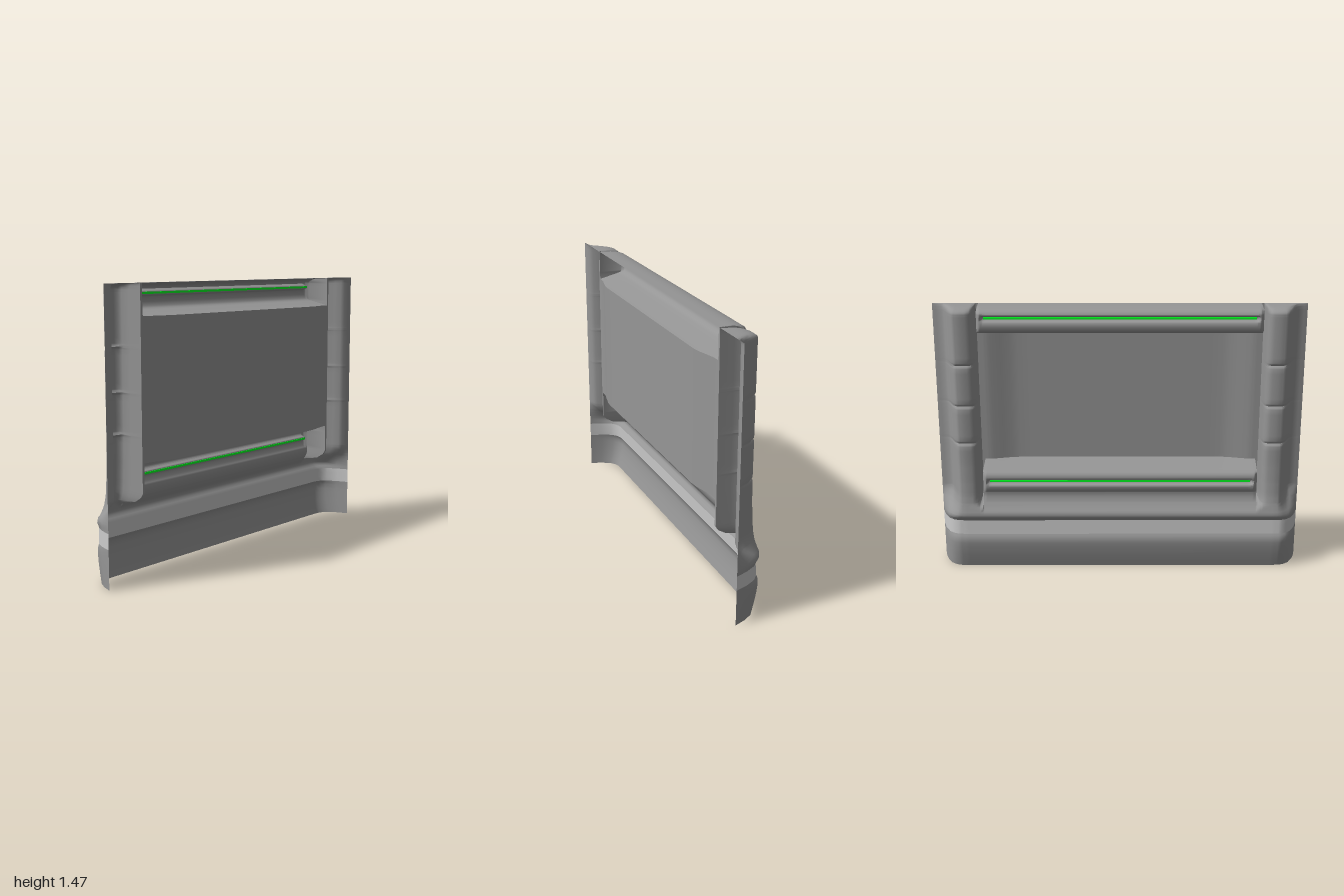
import * as THREE from 'three';
import { toCreasedNormals } from 'three/addons/utils/BufferGeometryUtils.js';

const BACK = 0.075; // open rim of the shell
const TOP = 1.465;
const step = THREE.MathUtils.smoothstep;
const lerp = THREE.MathUtils.lerp;

// piecewise-linear lookup in a list of [position, value]
function lookup(points, t) {
  if (t <= points[0][0]) return points[0][1];
  for (let i = 1; i < points.length; i++) {
    const [a, va] = points[i - 1], [b, vb] = points[i];
    if (t <= b) return lerp(va, vb, (t - a) / (b - a));
  }
  return points[points.length - 1][1];
}

// outer depth up the wall: skirt, band, lip, then the pillars
const outerProfile = [[0, -0.07], [0.05, -0.083], [0.1, -0.094], [0.15, -0.101], [0.175, -0.101], [0.19, -0.094],
  [0.2, -0.088], [0.28, -0.084], [0.295, -0.094], [0.305, -0.107], [0.32, -0.11], [0.335, -0.105],
  [0.38, -0.091], [0.43, -0.082], [0.5, -0.076], [0.6, -0.071], [0.72, -0.069], [TOP, -0.07]];
// recessed middle: lower bar, panel, upper bar
const lowerBar = [[0.335, -0.105], [0.36, -0.084], [0.385, -0.068], [0.41, -0.06], [0.435, -0.057],
  [0.443, -0.063], [0.455, -0.07], [0.475, -0.075], [0.53, -0.077], [0.545, -0.073], [0.555, -0.06],
  [0.563, -0.035], [0.585, BACK]];
const upperBar = [[1.305, BACK], [1.328, -0.03], [1.335, -0.055], [1.345, -0.068], [1.365, -0.075], [TOP, -0.077]];
// share of the full depth across the width
const skirtSide = [[0.86, 1], [0.89, 0.985], [0.92, 0.92], [0.95, 0.76], [0.98, 0.4], [1, 0]];
const pillarSide = [[0.768, 0], [0.774, 0.5], [0.78, 0.82], [0.79, 0.94], [0.81, 0.985], [0.84, 1], [0.865, 0.99],
  [0.88, 0.93], [0.9, 0.72], [0.92, 0.4], [0.935, 0.18], [0.95, 0.07], [1, 0]];
const joints = [0.72, 0.93, 1.155];
const stripHeights = [0.5, 1.41];

// depth of the middle field between the pillars
function middleDepth(x, y) {
  const panel = lerp(0.108, BACK, step(x, 0.56, 0.74));
  if (y >= 0.585 && y <= 1.305) return panel;
  let z = y < 0.585 ? lookup(lowerBar, y) : lookup(upperBar, y);
  // grooves for the light strips
  for (const h of stripHeights) {
    const r = Math.hypot(Math.max(0, x - 0.715), y - h);
    z += 0.028 * (1 - step(r, 0.007, 0.02));
  }
  // rounded ends of the bars
  if (y > 0.4) z = lerp(z, Math.max(z, -0.055), step(x, 0.735, 0.752));
  return z;
}

function depth(xs, y) {
  const x = Math.abs(xs);
  const outer = lookup(outerProfile, y);
  const slit = step(y, 0.355, 0.39);
  let z;
  if (x < 0.7535) {
    z = y < 0.335 ? outer : middleDepth(x, y);
  } else {
    let p = lookup(pillarSide, x);
    if (x < 0.84) p = lerp(1, p, slit);
    // pinched joints between the pillar segments
    for (const j of joints) p *= 1 - 0.08 * Math.pow(Math.max(0, 1 - Math.abs(y - j) / 0.016), 2);
    const share = lerp(lookup(skirtSide, x), p, step(y, 0.29, 0.44));
    z = lerp(BACK, outer, share);
  }
  // rounded top edge closing back to the rim
  if (y > 1.43 && z < BACK) {
    const u = Math.min(1, (y - 1.43) / (TOP - 1.43));
    z = lerp(BACK, z, Math.pow(1 - u * u, 0.35));
  }
  return z;
}

// sorted grid lines: breakpoints with long spans subdivided
function gridLines(breaks, maxStep) {
  const sorted = [...new Set(breaks)].sort((a, b) => a - b);
  const out = [sorted[0]];
  for (let i = 1; i < sorted.length; i++) {
    const n = Math.ceil((sorted[i] - sorted[i - 1]) / maxStep);
    for (let k = 1; k <= n; k++) out.push(lerp(sorted[i - 1], sorted[i], k / n));
  }
  return out;
}

const halfX = gridLines([0, 0.56, 0.6, 0.65, 0.7, 0.715, 0.722, 0.729, 0.735, 0.74, 0.746, 0.752, 0.755,
  ...pillarSide.map(p => p[0]), ...skirtSide.map(p => p[0])], 0.08);
const xLines = [...halfX.slice(1).reverse().map(x => -x), ...halfX];
const yLines = gridLines([...outerProfile, ...lowerBar, ...upperBar].map(p => p[0]).concat(
  joints.flatMap(j => [-0.016, -0.009, -0.004, 0, 0.004, 0.009, 0.016].map(d => j + d)),
  stripHeights.flatMap(h => [-0.02, -0.016, -0.011, -0.007, 0.007, 0.011, 0.016, 0.02].map(d => h + d)),
  [0.345, 0.37, 1.44, 1.448, 1.454, 1.459, 1.462, 1.464]), 0.03);

// one horizontal slice of the shell
function shellPart(name, y0, y1, material) {
  const ys = yLines.filter(y => y >= y0 - 1e-6 && y <= y1 + 1e-6);
  const pos = [], index = [], w = xLines.length;
  for (const y of ys) for (const x of xLines) pos.push(x, y, depth(x, y));
  for (let j = 0; j < ys.length - 1; j++) {
    for (let i = 0; i < w - 1; i++) {
      const a = j * w + i, b = a + w;
      index.push(a, b, a + 1, a + 1, b, b + 1);
    }
  }
  const geo = new THREE.BufferGeometry();
  geo.setAttribute('position', new THREE.Float32BufferAttribute(pos, 3));
  geo.setIndex(index);
  const mesh = new THREE.Mesh(toCreasedNormals(geo, 1.1), material);
  mesh.name = name;
  return mesh;
}

export function createModel() {
  const group = new THREE.Group();
  group.name = 'wallPanel';
  const dark = new THREE.MeshStandardMaterial({ color: 0x969696, side: THREE.DoubleSide });
  const pale = new THREE.MeshStandardMaterial({ color: 0xcccccc, side: THREE.DoubleSide });
  const green = new THREE.MeshStandardMaterial({ color: 0x00ff22 });

  group.add(shellPart('skirt', 0, 0.2, dark));
  group.add(shellPart('skirtBand', 0.2, 0.28, pale));
  group.add(shellPart('wallShell', 0.28, TOP, dark));

  // light strips lying in the bar grooves
  for (const h of stripHeights) {
    const strip = new THREE.Mesh(new THREE.BoxGeometry(1.43, 0.011, 0.01), green);
    strip.position.set(0, h, -0.048);
    strip.name = h < 1 ? 'lowerLightStrip' : 'upperLightStrip';
    group.add(strip);
  }
  return group;
}
